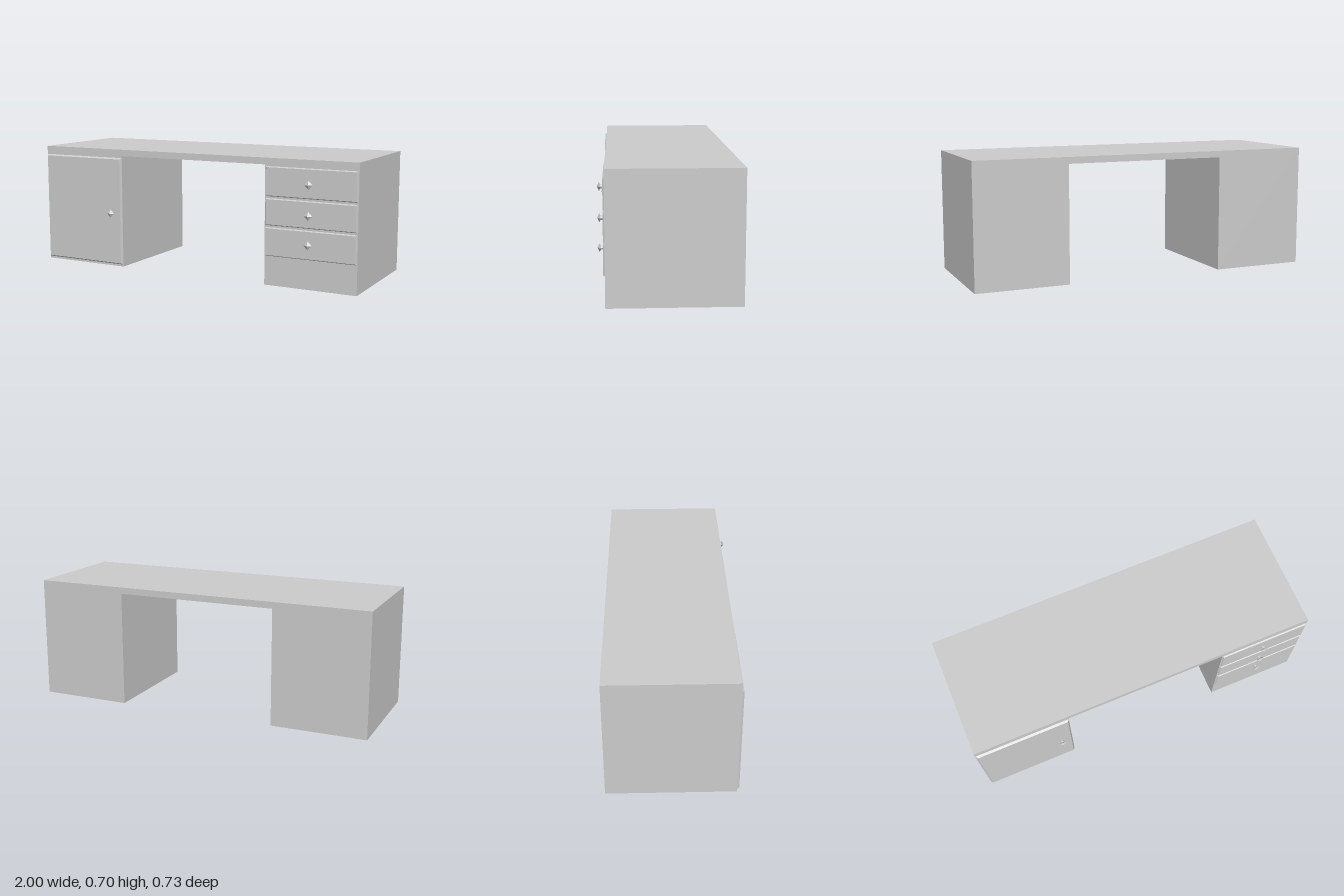
import * as THREE from 'three';

const FRONT = 0.327, BACK = -0.365;
const material = new THREE.MeshStandardMaterial({ color: 0xcccccc, flatShading: true });

function addMesh(parent, name, geometry, x = 0, y = 0, z = 0) {
  const mesh = new THREE.Mesh(geometry, material);
  mesh.name = name;
  mesh.position.set(x, y, z);
  parent.add(mesh);
  return mesh;
}

// Thin front panel whose front face is inset, giving sloped edges
function panelGeometry(width, height, depth, inset) {
  const geometry = new THREE.BoxGeometry(width, height, depth);
  const p = geometry.attributes.position;
  for (let i = 0; i < p.count; i++) {
    if (p.getZ(i) < 0) continue;
    p.setX(i, p.getX(i) - Math.sign(p.getX(i)) * inset);
    p.setY(i, p.getY(i) - Math.sign(p.getY(i)) * inset);
  }
  geometry.computeVertexNormals();
  return geometry;
}

function addPanel(parent, name, x0, x1, y0, y1, depth, inset) {
  addMesh(parent, name, panelGeometry(x1 - x0, y1 - y0, depth, inset),
    (x0 + x1) / 2, (y0 + y1) / 2, FRONT + depth / 2);
}

// Round stem with a flattened diamond grip
function addKnob(parent, name, x, y) {
  const knob = new THREE.Group();
  knob.name = name;
  knob.position.set(x, y, FRONT);
  const stem = addMesh(knob, 'knobStem', new THREE.CylinderGeometry(0.011, 0.011, 0.024, 8), 0, 0, 0.012);
  stem.rotation.x = Math.PI / 2;
  const grip = addMesh(knob, 'knobGrip', new THREE.OctahedronGeometry(0.024), 0, 0, 0.029);
  grip.scale.z = 0.48;
  parent.add(knob);
}

export function createModel() {
  const desk = new THREE.Group();
  desk.name = 'desk';

  // Worktop and two pedestals as one continuous bridge outline
  const outline = new THREE.Shape([
    [-1, 0], [-0.455, 0], [-0.455, 0.66], [0.47, 0.66],
    [0.47, 0], [1, 0], [1, 0.697], [-1, 0.697],
  ].map(([x, y]) => new THREE.Vector2(x, y)));
  const body = new THREE.ExtrudeGeometry(outline, { depth: FRONT - BACK, bevelEnabled: false });
  addMesh(desk, 'deskBody', body, 0, 0, BACK);

  // Cupboard door
  addPanel(desk, 'door', -0.997, -0.457, 0.012, 0.648, 0.012, 0.008);
  addKnob(desk, 'doorKnob', -0.522, 0.319);

  // Three stacked drawers
  [[0.49, 0.652, 0.567], [0.332, 0.479, 0.403], [0.163, 0.321, 0.246]].forEach(([y0, y1, knobY], i) => {
    addPanel(desk, `drawer${i + 1}`, 0.475, 0.995, y0, y1, 0.008, 0.005);
    addKnob(desk, `drawerKnob${i + 1}`, 0.733, knobY);
  });

  return desk;
}
